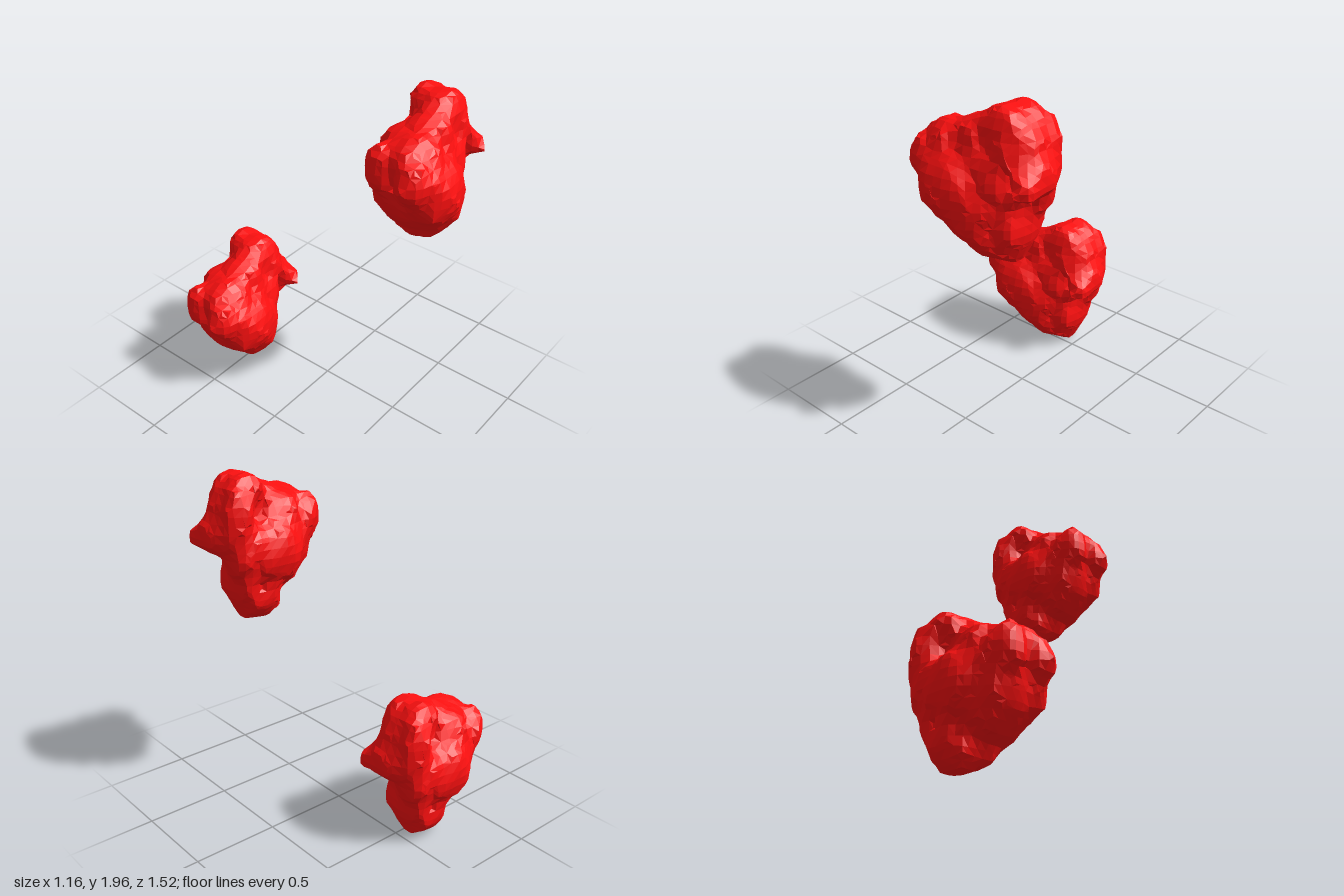
import * as THREE from 'three';

// Overlapping swellings of one lump: centre x, y, z then radii x, y, z
const LOBES = [
  [0.12, 1.55, 0.48, 0.22, 0.28, 0.22],   // main body
  [0.26, 1.29, 0.43, 0.14, 0.17, 0.15],   // lower tip
  [0.23, 1.32, 0.51, 0.14, 0.15, 0.13],   // lower front
  [0.34, 1.37, 0.43, 0.09, 0.17, 0.15],   // lower side
  [0.06, 1.55, 0.60, 0.16, 0.19, 0.16],   // front belly
  [0.17, 1.47, 0.59, 0.14, 0.21, 0.14],   // front ridge
  [0.28, 1.58, 0.50, 0.14, 0.26, 0.15],   // front middle
  [-0.06, 1.65, 0.60, 0.13, 0.13, 0.11],  // front shoulder
  [-0.07, 1.67, 0.41, 0.10, 0.15, 0.11],  // back shoulder
  [0.01, 1.75, 0.53, 0.13, 0.11, 0.13],   // shoulder top
  [0.17, 1.80, 0.51, 0.10, 0.11, 0.12],   // saddle below the peak
  [0.22, 1.86, 0.49, 0.07, 0.07, 0.10],   // step up to the peak
  [0.33, 1.86, 0.50, 0.09, 0.13, 0.10],   // front of the peak
  [0.33, 1.86, 0.38, 0.09, 0.13, 0.10],   // back of the peak
  [0.42, 1.75, 0.46, 0.09, 0.15, 0.14],   // slope from the peak to the arm
  [0.47, 1.64, 0.46, 0.10, 0.11, 0.14],   // arm
  [0.51, 1.62, 0.57, 0.07, 0.07, 0.07],   // arm tip
  [0.43, 1.72, 0.33, 0.08, 0.19, 0.09],   // back ridge
  [0.37, 1.55, 0.35, 0.11, 0.18, 0.11],   // back side
  [0.19, 1.53, 0.34, 0.18, 0.19, 0.13],   // lower back
  [0.10, 1.74, 0.40, 0.10, 0.11, 0.10],   // upper back
];
// Spherical hollows: centre and radius
const HOLLOWS = [
  [0.26, 1.80, 0.25, 0.10],
  [0.15, 1.82, 0.69, 0.08],
  [-0.17, 1.72, 0.50, 0.05],
];
const CENTRE = [0.195, 1.12, 0.49], LOW = [-0.3, 1.0, 0.1], HIGH = [0.7, 2.12, 0.88];

// Negative inside the lump
function field(x, y, z) {
  const k = 0.01;
  let sum = 0;
  for (const [cx, cy, cz, rx, ry, rz] of LOBES) {
    const d = (Math.hypot((x - cx) / rx, (y - cy) / ry, (z - cz) / rz) - 1) * Math.min(rx, ry, rz);
    sum += Math.exp(-d / k);
  }
  let d = -k * Math.log(sum + 1e-200);
  for (const [cx, cy, cz, r] of HOLLOWS) d = Math.max(d, r - Math.hypot(x - cx, y - cy, z - cz));
  // knobbly surface
  return d + 0.012 * Math.sin(37 * x + 9 * y) * Math.sin(21 * y + 2) + 0.008 * Math.sin(41 * z + 17 * x) * Math.sin(33 * x - 13 * y);
}

// Skin the field on a coarse grid: one vertex per crossed cell, one quad per crossed edge
function lumpGeometry() {
  const step = 0.05;
  const n = LOW.map((v, i) => Math.ceil((HIGH[i] - v) / step) + 1);
  const id = (i, j, k) => i + n[0] * (j + n[1] * k);
  const at = (g) => g.map((v, i) => LOW[i] + v * step);
  const values = [], positions = [], index = [], cellVertex = new Map();
  for (let k = 0; k < n[2]; k++)
    for (let j = 0; j < n[1]; j++)
      for (let i = 0; i < n[0]; i++) values[id(i, j, k)] = field(...at([i, j, k]));

  const eachCell = (visit) => {
    for (let k = 1; k < n[2] - 1; k++)
      for (let j = 1; j < n[1] - 1; j++)
        for (let i = 1; i < n[0] - 1; i++) visit([i, j, k]);
  };
  // vertices at the mean of the crossings on each cell's edges
  eachCell((g) => {
    const mean = [0, 0, 0];
    let count = 0;
    for (let a = 0; a < 3; a++)
      for (let s = 0; s < 4; s++) {
        const p = [...g];
        p[(a + 1) % 3] += s & 1;
        p[(a + 2) % 3] += s >> 1;
        const q = [...p];
        q[a]++;
        const u = values[id(...p)], v = values[id(...q)];
        if (u < 0 === v < 0) continue;
        p[a] += u / (u - v);
        at(p).forEach((c, m) => { mean[m] += c; });
        count++;
      }
    if (!count) return;
    cellVertex.set(id(...g), positions.length / 3);
    positions.push(...mean.map((c, m) => c / count - CENTRE[m]));
  });
  // quads, turned to face outward
  eachCell((g) => {
    for (let a = 0; a < 3; a++) {
      const next = [...g];
      next[a]++;
      const inside = values[id(...g)] < 0;
      if (inside === values[id(...next)] < 0) continue;
      const corner = (b, c) => {
        const p = [...g];
        p[(a + 1) % 3] -= b;
        p[(a + 2) % 3] -= c;
        return cellVertex.get(id(...p));
      };
      const q = [corner(0, 0), corner(1, 0), corner(1, 1), corner(0, 1)];
      if (!inside) q.reverse();
      index.push(q[0], q[1], q[2], q[0], q[2], q[3]);
    }
  });

  const geometry = new THREE.BufferGeometry();
  geometry.setAttribute('position', new THREE.Float32BufferAttribute(positions, 3));
  geometry.setIndex(index);
  geometry.computeVertexNormals();
  return geometry;
}

export function createModel() {
  const group = new THREE.Group();
  group.name = 'lumpPair';
  const geometry = lumpGeometry();
  const material = new THREE.MeshStandardMaterial({ color: 0xff1010, flatShading: true });
  // the same lump twice, set diagonally one above the other
  for (const [name, x, y, z] of [['upperLump', 0.195, 1.12, 0.49], ['lowerLump', -0.2, 0.01, -0.49]]) {
    const lump = new THREE.Mesh(geometry, material);
    lump.name = name;
    lump.position.set(x, y, z);
    group.add(lump);
  }
  return group;
}
